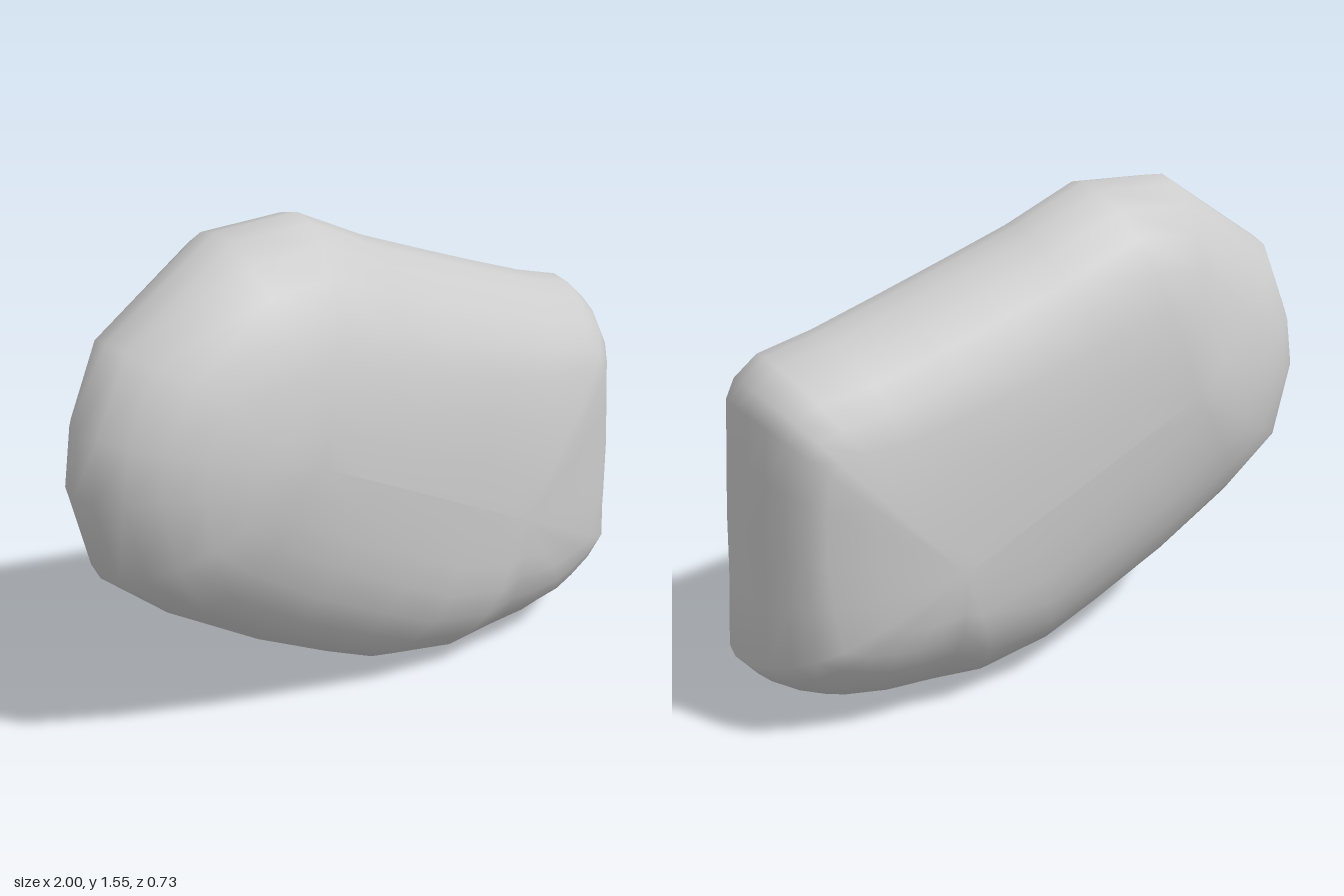
import * as THREE from 'three';
import { mergeVertices } from 'three/addons/utils/BufferGeometryUtils.js';

// Outline seen from the front, clockwise: x, y, width and half thickness of the rounded shoulder
const OUTLINE = [
  [-1, 0.87, 0.48, 0.335], [-0.97, 1.05, 0.48, 0.335], [-0.86, 1.29, 0.48, 0.335], [-0.48, 1.54, 0.46, 0.335],
  [-0.19, 1.55, 0.46, 0.335], [0.05, 1.44, 0.43, 0.335], [0.27, 1.36, 0.42, 0.335], [0.48, 1.285, 0.4, 0.335],
  [0.7, 1.21, 0.38, 0.325], [0.87, 1.165, 0.36, 0.315], [0.94, 1.1, 0.32, 0.31], [0.965, 1.03, 0.27, 0.31],
  [0.97, 0.86, 0.22, 0.305], [0.98, 0.66, 0.2, 0.305], [0.985, 0.45, 0.22, 0.31], [1, 0.23, 0.3, 0.315],
  [0.93, 0.15, 0.34, 0.325], [0.84, 0.09, 0.37, 0.335], [0.75, 0.05, 0.38, 0.345], [0.6, 0.02, 0.39, 0.355],
  [0.42, 0.01, 0.4, 0.36], [0.23, 0, 0.4, 0.36], [-0.02, 0.05, 0.41, 0.355], [-0.2, 0.13, 0.42, 0.35],
  [-0.46, 0.26, 0.43, 0.345], [-0.72, 0.42, 0.44, 0.34], [-0.935, 0.6, 0.46, 0.335],
];
const SPINE = new THREE.Line3(new THREE.Vector3(-0.4, 0.92, 0), new THREE.Vector3(0.42, 0.52, 0));
const CROWN = 0.364;     // half thickness along the spine
const LAST_ANGLE = 75;   // where the shoulder passes into the broad face
const ROUNDNESS = 1.1;   // above 1 flattens the shoulder towards a chamfer

// One ring of the shoulder; degrees run from the front face (+) to the back face (-)
function ring(degrees) {
  const angle = THREE.MathUtils.degToRad(degrees);
  const c = Math.cos(angle) ** ROUNDNESS;
  const s = Math.sign(angle) * Math.abs(Math.sin(angle)) ** ROUNDNESS;
  return OUTLINE.map(([x, y, width, thickness]) => {
    const rim = new THREE.Vector3(x, y, 0);
    const core = SPINE.closestPointToPoint(rim, true, new THREE.Vector3());
    rim.addScaledVector(core.sub(rim).normalize(), width * (1 - c));
    const lean = 0.04 - 0.04 * y; // the rim drifts slightly backwards with height
    return [rim.x, rim.y, thickness * s + lean * c];
  });
}

// A ring of the domed face, from the shoulder (t = 0) to the spine (t = 1)
function dome(shoulder, side, t) {
  const rise = 1 - (1 - t) ** 2;
  return shoulder.map(([x, y, z], i) => {
    const rim = new THREE.Vector3(OUTLINE[i][0], OUTLINE[i][1], 0);
    const core = SPINE.closestPointToPoint(rim, true, new THREE.Vector3());
    const { lerp } = THREE.MathUtils;
    return [lerp(x, core.x, t), lerp(y, core.y, t), lerp(z, side * CROWN, rise)];
  });
}

export function createModel() {
  const rows = [];
  for (let deg = LAST_ANGLE; deg >= -LAST_ANGLE; deg -= 15) rows.push(ring(deg));
  const front = rows[0], back = rows[rows.length - 1];
  for (const t of [0.33, 0.67, 1]) {
    rows.unshift(dome(front, 1, t));
    rows.push(dome(back, -1, t));
  }

  const n = OUTLINE.length;
  const index = [];
  for (let j = 0; j < rows.length - 1; j++) {
    for (let i = 0; i < n; i++) {
      const k = (i + 1) % n;
      const a = j * n + i, b = j * n + k, c = a + n, d = b + n;
      index.push(a, b, c, b, d, c);
    }
  }
  let geometry = new THREE.BufferGeometry();
  geometry.setAttribute('position', new THREE.Float32BufferAttribute(rows.flat(2), 3));
  geometry.setIndex(index);
  geometry = mergeVertices(geometry, 1e-4);
  geometry.computeVertexNormals();

  const stone = new THREE.Mesh(geometry, new THREE.MeshStandardMaterial({ color: 0xcccccc }));
  stone.name = 'stone';
  const group = new THREE.Group();
  group.name = 'smoothStone';
  group.add(stone);
  return group;
}
